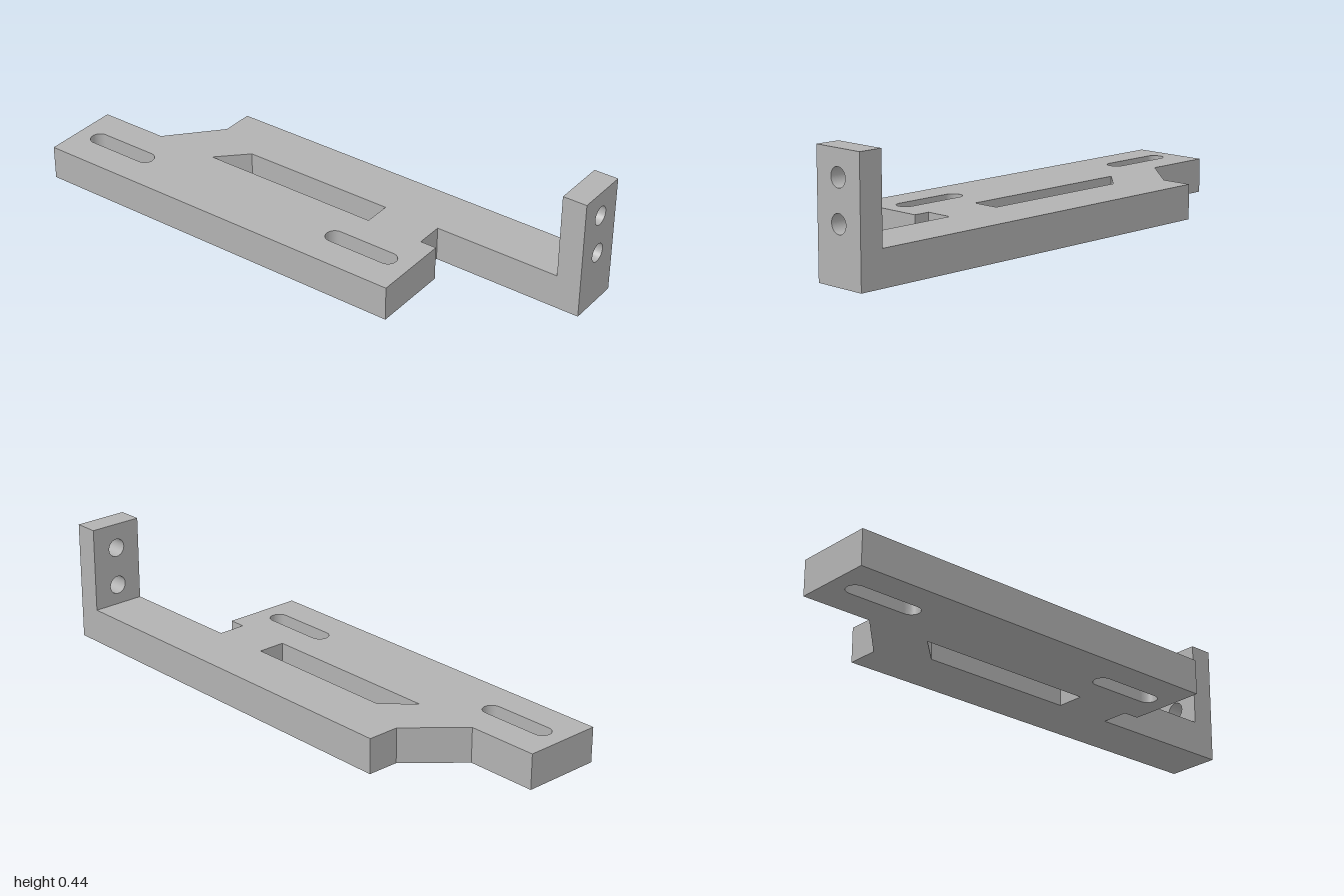
import * as THREE from 'three';

const THICK = 0.129;

function polygon(Type, points) {
  return new Type(points.map(([x, y]) => new THREE.Vector2(x, y)));
}

// Long hole with rounded ends, running along z
function slot(x, z0, z1, r) {
  const p = new THREE.Path();
  p.absarc(x, z1 - r, r, 0, Math.PI, false);
  p.absarc(x, z0 + r, r, Math.PI, Math.PI * 2, false);
  p.closePath();
  return p;
}

function roundHole(x, y, r) {
  const p = new THREE.Path();
  p.absarc(x, y, r, 0, Math.PI * 2, true);
  return p;
}

export function createModel() {
  const group = new THREE.Group();
  group.name = 'mountingBracket';
  const grey = new THREE.MeshStandardMaterial({ color: 0xb2b2b2 });
  grey.name = 'grey';

  // Flat base: slotted plate and long arm joined by two bridges (x, z outline)
  const base = polygon(THREE.Shape, [
    [-0.302, -1], [-0.006, -1], [-0.006, -0.735], [0.18, -0.57], [0.3, -0.57],
    [0.3, 1], [0.097, 1], [0.097, 0.43], [-0.006, 0.43], [-0.006, 0.492], [-0.302, 0.492],
  ]);
  base.holes.push(
    polygon(THREE.Path, [[-0.006, -0.49], [0.097, -0.387], [0.097, 0.21], [-0.006, 0.21]]),
    slot(-0.155, -0.94, -0.65, 0.034),
    slot(-0.155, 0.14, 0.43, 0.034),
  );
  const baseGeometry = new THREE.ExtrudeGeometry(base, { depth: THICK, bevelEnabled: false, curveSegments: 16 });
  baseGeometry.rotateX(Math.PI / 2).translate(0, THICK, 0);
  const baseMesh = new THREE.Mesh(baseGeometry, grey);
  baseMesh.name = 'basePlate';
  group.add(baseMesh);

  // Upright tab at the front end of the arm, with two bolt holes
  const tab = polygon(THREE.Shape, [[0.097, THICK], [0.3, THICK], [0.3, 0.445], [0.097, 0.445]]);
  for (const y of [0.204, 0.352]) tab.holes.push(roundHole(0.198, y, 0.034));
  const tabGeometry = new THREE.ExtrudeGeometry(tab, { depth: 0.09, bevelEnabled: false, curveSegments: 32 });
  tabGeometry.translate(0, 0, 0.91);
  const tabMesh = new THREE.Mesh(tabGeometry, grey);
  tabMesh.name = 'uprightTab';
  group.add(tabMesh);

  return group;
}
